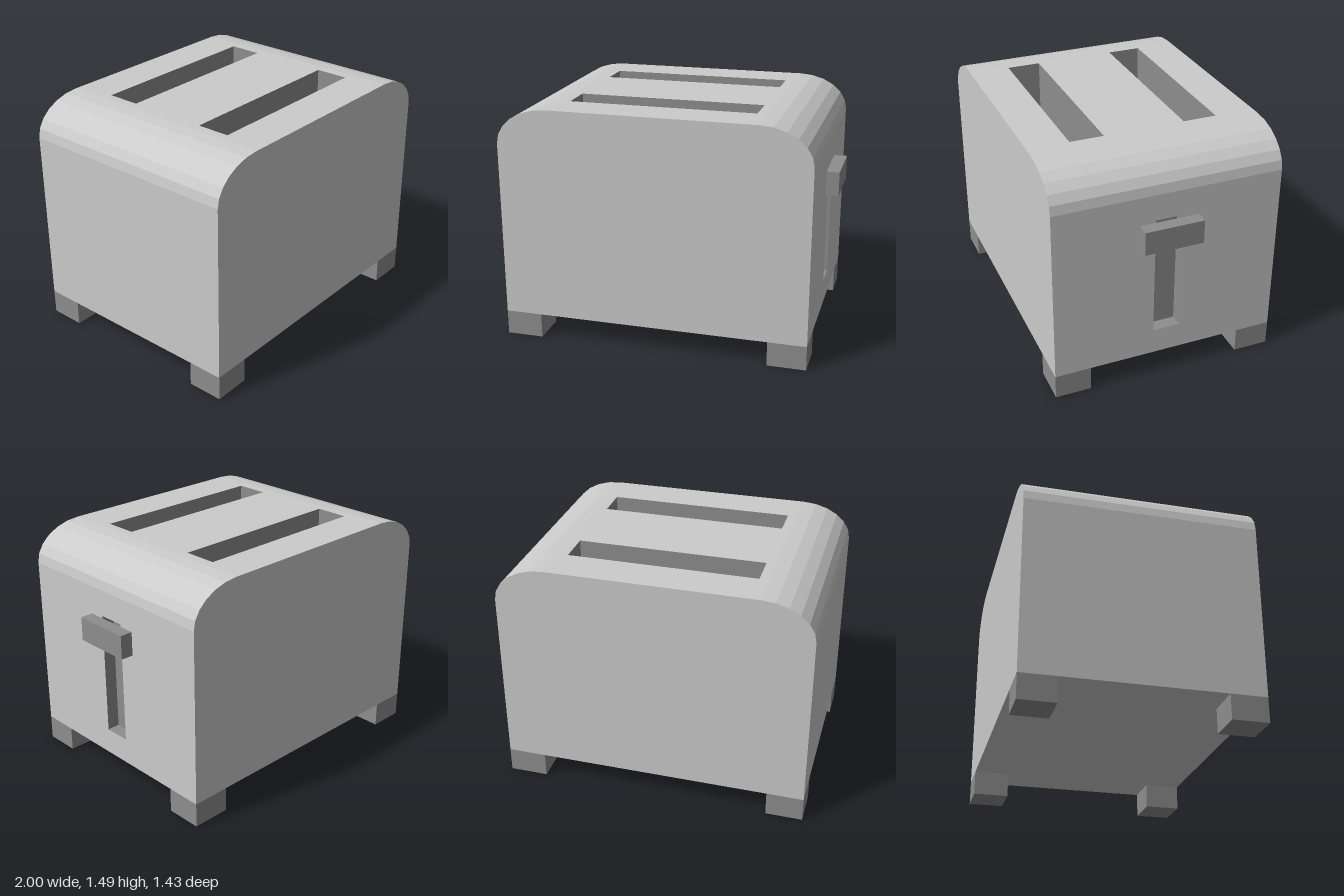
import * as THREE from 'three';

const X0 = -1, X1 = 0.92, Y0 = 0.155, Y1 = 1.485, Z = 0.715; // body limits
const RX = 0.32, RY = 0.225, STEPS = 6; // rounded upper corners

const bodyMat = new THREE.MeshStandardMaterial({ color: 0xcccccc, flatShading: true });
const darkMat = new THREE.MeshStandardMaterial({ color: 0x8e8e8e, flatShading: true });

function addMesh(parent, name, geometry, material) {
  const mesh = new THREE.Mesh(geometry, material);
  mesh.name = name;
  parent.add(mesh);
  return mesh;
}

function box(parent, name, [x0, x1], [y0, y1], [z0, z1], material) {
  const geo = new THREE.BoxGeometry(x1 - x0, y1 - y0, z1 - z0);
  geo.translate((x0 + x1) / 2, (y0 + y1) / 2, (z0 + z1) / 2);
  return addMesh(parent, name, geo, material);
}

// Box seen from inside, without the listed faces (0 +x, 1 -x, 2 +y, 3 -y, 4 +z, 5 -z)
function pocket(parent, name, xs, ys, zs, skip) {
  const mesh = box(parent, name, xs, ys, zs, darkMat);
  const all = Array.from(mesh.geometry.index.array);
  const kept = all.filter((_, i) => !skip.includes(Math.floor(i / 6)));
  mesh.geometry.setIndex(kept.reverse());
  mesh.geometry = mesh.geometry.toNonIndexed();
  mesh.geometry.computeVertexNormals();
}

function rect(path, a0, a1, b0, b1) {
  path.moveTo(a0, b0);
  path.lineTo(a1, b0);
  path.lineTo(a1, b1);
  path.lineTo(a0, b1);
  path.closePath();
  return path;
}

// Flat rectangle with rectangular holes
function panel(outer, holes = []) {
  const shape = rect(new THREE.Shape(), ...outer);
  holes.forEach((h) => shape.holes.push(rect(new THREE.Path(), ...h)));
  return new THREE.ShapeGeometry(shape);
}

// Points of one rounded corner, between two angles
function corner(cx, from, to) {
  return Array.from({ length: STEPS + 1 }, (_, i) => {
    const a = from + ((to - from) * i) / STEPS;
    return new THREE.Vector2(cx + RX * Math.cos(a), Y1 - RY + RY * Math.sin(a));
  });
}

// Strip of flat quads running front to back along a counter-clockwise outline
function strip(points) {
  const pos = [];
  for (let i = 0; i < points.length - 1; i++) {
    const a = points[i], b = points[i + 1];
    pos.push(a.x, a.y, Z, a.x, a.y, -Z, b.x, b.y, -Z);
    pos.push(a.x, a.y, Z, b.x, b.y, -Z, b.x, b.y, Z);
  }
  const geo = new THREE.BufferGeometry();
  geo.setAttribute('position', new THREE.Float32BufferAttribute(pos, 3));
  geo.computeVertexNormals();
  return geo;
}

export function createModel() {
  const model = new THREE.Group();
  model.name = 'toaster';
  const body = new THREE.Group();
  body.name = 'body';
  model.add(body);

  // Rounded shoulders, left wall and underside
  const rightCorner = corner(X1 - RX, 0, Math.PI / 2);
  const leftCorner = corner(X0 + RX, Math.PI / 2, Math.PI);
  const lowLeft = new THREE.Vector2(X0, Y0), lowRight = new THREE.Vector2(X1, Y0);
  addMesh(body, 'leverSideShoulder', strip(rightCorner), bodyMat);
  addMesh(body, 'plainSideAndBase', strip([...leftCorner, lowLeft, lowRight]), bodyMat);

  // Front and back walls
  const endShape = new THREE.Shape([lowLeft, lowRight, ...rightCorner, ...leftCorner]);
  addMesh(body, 'frontWall', new THREE.ShapeGeometry(endShape).translate(0, 0, Z), bodyMat);
  const backWall = new THREE.ShapeGeometry(
    new THREE.Shape(endShape.getPoints().map((p) => new THREE.Vector2(-p.x, p.y))));
  addMesh(body, 'backWall', backWall.rotateY(Math.PI).translate(0, 0, -Z), bodyMat);

  // Top with two bread slots
  const slotX = [-0.62, 0.54], slotY = [0.5, Y1];
  const slots = [[0.25, 0.46], [-0.465, -0.255]];
  const top = panel([X0 + RX, X1 - RX, -Z, Z], slots.map(([a, b]) => [...slotX, -b, -a]));
  addMesh(body, 'topPanel', top.rotateX(-Math.PI / 2).translate(0, Y1, 0), bodyMat);
  pocket(body, 'frontSlot', slotX, slotY, slots[0], [2]);
  pocket(body, 'backSlot', slotX, slotY, slots[1], [2, 3]);
  const floor = panel([...slotX, -slots[1][1], -slots[1][0]]);
  addMesh(body, 'backSlotFloor', floor.rotateX(-Math.PI / 2).translate(0, slotY[0], 0), bodyMat);

  // Lever side with its recessed track
  const trackY = [0.32, 1.095], trackZ = [-0.085, 0.085];
  const side = panel([-Z, Z, Y0, Y1 - RY], [[...trackZ, ...trackY]]);
  addMesh(body, 'leverWall', side.rotateY(Math.PI / 2).translate(X1, 0, 0), bodyMat);
  pocket(body, 'leverTrack', [X1 - 0.08, X1], trackY, trackZ, [0]);

  // Lever knob
  box(model, 'leverKnob', [X1, 1], [0.93, 1.08], [-0.185, 0.185], darkMat);

  // Feet, flush with the body corners
  for (const xs of [[X0, -0.77], [0.68, X1]]) {
    for (const zs of [[0.49, Z], [-Z, -0.49]]) box(model, 'foot', xs, [0, Y0], zs, darkMat);
  }
  return model;
}
